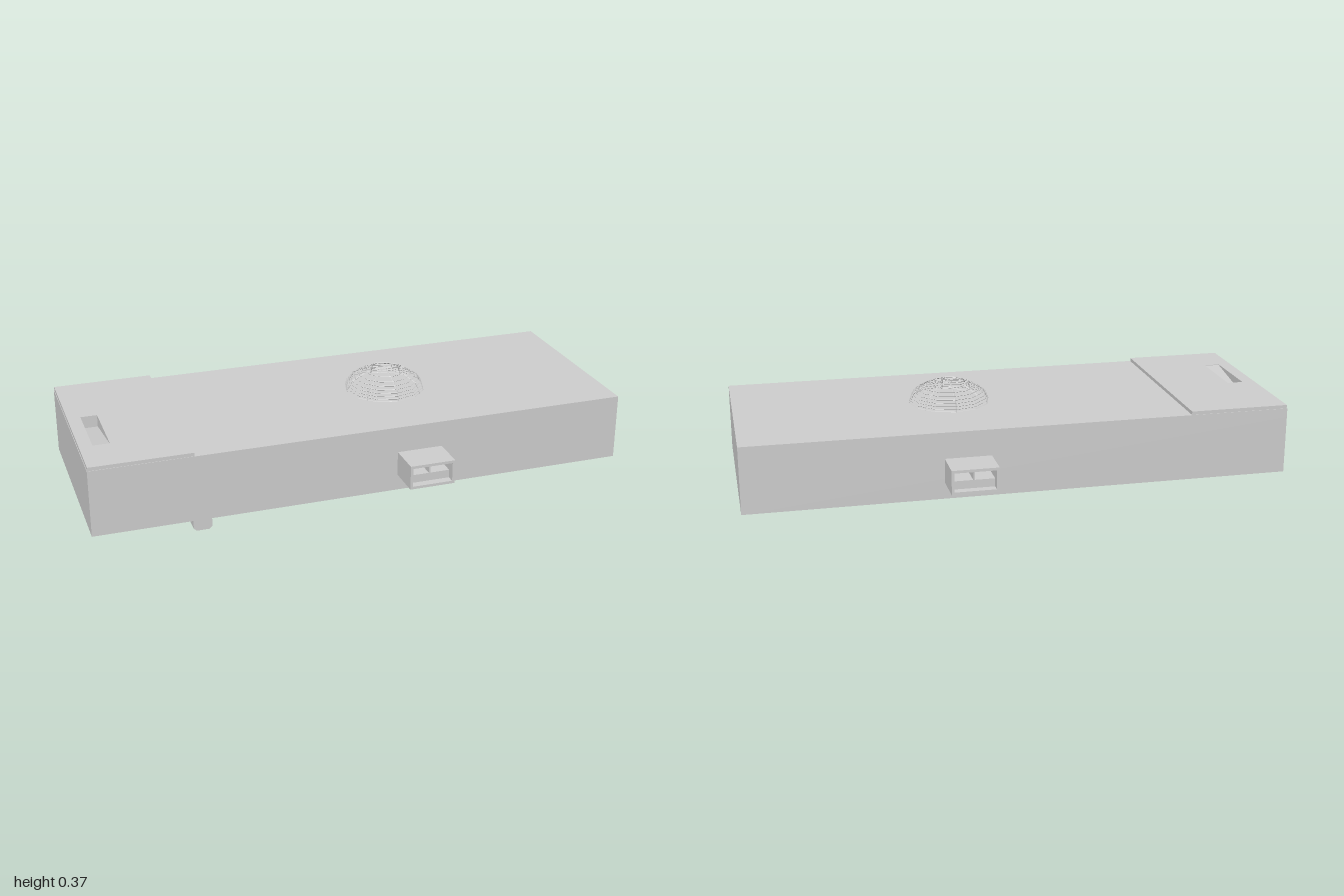
import * as THREE from 'three';

const mat = new THREE.MeshStandardMaterial({ color: 0xcccccc, flatShading: true, side: THREE.DoubleSide });

function add(parent, name, geometry) {
  const mesh = new THREE.Mesh(geometry, mat);
  mesh.name = name;
  parent.add(mesh);
  return mesh;
}

// box given by its limits on each axis
function box(x0, x1, y0, y1, z0, z1) {
  return new THREE.BoxGeometry(x1 - x0, y1 - y0, z1 - z0)
    .translate((x0 + x1) / 2, (y0 + y1) / 2, (z0 + z1) / 2);
}

const polygon = (pts) => pts.map(([x, y]) => new THREE.Vector2(x, y));
const rect = (x0, x1, z0, z1) => polygon([[x0, -z0], [x0, -z1], [x1, -z1], [x1, -z0]]);

// horizontal slab pierced by the thumb slot
const SLOT = [-0.95, -0.89, -0.055, 0.2];
function slottedSlab(x0, x1, y0, y1, z) {
  const shape = new THREE.Shape(rect(x0, x1, -z, z));
  shape.holes.push(new THREE.Path(rect(...SLOT)));
  return new THREE.ExtrudeGeometry(shape, { depth: y1 - y0, bevelEnabled: false })
    .rotateX(-Math.PI / 2).translate(0, y0, 0);
}

// open socket facing +z
function makeSocket() {
  const socket = new THREE.Group();
  const [x0, x1, y0, y1, z0, z1] = [0.115, 0.285, 0.1, 0.19, 0.37, 0.5];
  const t = 0.01;
  add(socket, 'socketTop', box(x0, x1, y1 - t, y1, z0, z1));
  add(socket, 'socketBottom', box(x0, x1, y0, y0 + t, z0, z1));
  add(socket, 'socketSide', box(x0, x0 + t, y0 + t, y1 - t, z0, z1));
  add(socket, 'socketSide', box(x1 - t, x1, y0 + t, y1 - t, z0, z1));
  add(socket, 'socketLedge', box(x0 + t, x1 - t, y0 + t, 0.14, z0, 0.47));
  add(socket, 'socketDivider', box(0.197, 0.203, 0.14, y1 - t, z0, 0.47));
  return socket;
}

export function createModel() {
  const model = new THREE.Group();
  model.name = 'flatCase';

  // main case and raised cover
  add(model, 'caseBody', box(-1, 1, 0.04, 0.255, -0.372, 0.372));
  add(model, 'caseTop', slottedSlab(-1, 1, 0.255, 0.287, 0.372));
  add(model, 'cover', slottedSlab(-0.998, -0.63, 0.287, 0.3, 0.37));

  // sloping floor of the thumb slot
  const ramp = new THREE.Shape(polygon([[-0.055, 0.255], [0.2, 0.255], [0.2, 0.298]]));
  add(model, 'slotRamp', new THREE.ExtrudeGeometry(ramp, { depth: 0.06, bevelEnabled: false })
    .rotateY(-Math.PI / 2).translate(-0.89, 0, 0));

  // domed wire guard: crossing arches and level rings
  const guard = new THREE.Group();
  guard.name = 'wireGuard';
  guard.position.set(0.2, 0.287, 0);
  const R = 0.15, H = 0.08;
  for (let i = 0; i < 4; i++) {
    add(guard, 'guardArch', new THREE.TorusGeometry(R, 0.0025, 4, 6, Math.PI)
      .scale(1, H / R, 1).rotateY(i * Math.PI / 4));
  }
  for (let i = 0; i < 8; i++) {
    const y = i * 0.01;
    const r = R * Math.sqrt(1 - (y / H) ** 2);
    add(guard, 'guardRing', new THREE.TorusGeometry(r, 0.0016, 4, 12)
      .rotateX(Math.PI / 2).translate(0, y, 0));
  }
  model.add(guard);

  // matching sockets on the front and back
  for (const side of [1, -1]) {
    const socket = makeSocket();
    socket.name = side > 0 ? 'frontSocket' : 'backSocket';
    if (side < 0) {
      socket.rotation.y = Math.PI;
      socket.position.x = 0.4;
    }
    model.add(socket);
  }

  // chamfered catch under the case, with a deeper front lip
  const profile = (y) => new THREE.Shape(polygon([
    [-0.645, 0.041], [-0.645, y + 0.01], [-0.635, y], [-0.588, y], [-0.578, y + 0.01], [-0.578, 0.041]]));
  const bar = (y, z0, z1) => new THREE.ExtrudeGeometry(profile(y), { depth: z1 - z0, bevelEnabled: false })
    .translate(0, 0, z0);
  add(model, 'catchBar', bar(0.006, 0.147, 0.272));
  add(model, 'catchLip', bar(0, 0.272, 0.372));

  return model;
}
